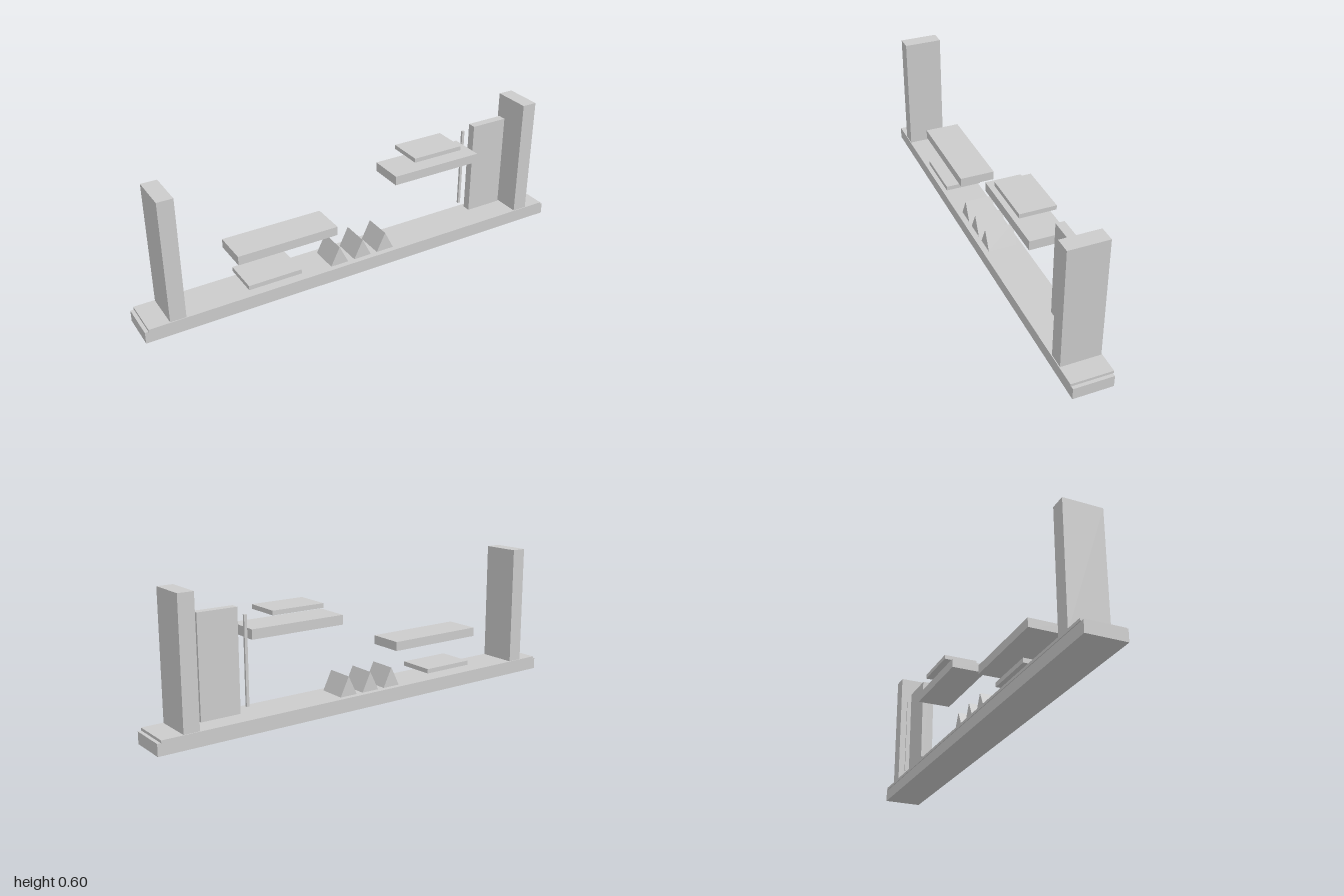
import * as THREE from 'three';

export function createModel() {
  const model = new THREE.Group();
  const material = new THREE.MeshStandardMaterial({ color: 0xcccccc, flatShading: true });

  const add = (name, geometry) => {
    const mesh = new THREE.Mesh(geometry, material);
    mesh.name = name;
    model.add(mesh);
    return mesh;
  };

  // Box given by its lower and upper limits on each axis
  const box = (name, [x0, x1], [y0, y1], [z0, z1]) =>
    add(name, new THREE.BoxGeometry(x1 - x0, y1 - y0, z1 - z0))
      .position.set((x0 + x1) / 2, (y0 + y1) / 2, (z0 + z1) / 2);

  const deep = (d) => [-d / 2, d / 2];

  // Ground block with a thin, slightly overhanging top layer
  box('groundBlock', [-1, 1], [0, 0.051], deep(0.171));
  box('groundTopLayer', [-0.985, 0.985], [0.051, 0.0625], deep(0.178));

  // End walls
  for (const [name, x] of [['leftWall', 0.859], ['rightWall', -0.861]]) {
    box(name, [x - 0.034, x + 0.034], [0.051, 0.6], deep(0.171));
  }

  // Floating platforms and their thin steps
  box('lowPlatform', [-0.588, -0.132], [0.222, 0.262], deep(0.157));
  box('lowStep', [-0.551, -0.309], [0.091, 0.111], deep(0.165));
  box('highPlatform', [0.155, 0.585], [0.38, 0.421], deep(0.157));
  box('highStep', [0.251, 0.49], [0.463, 0.482], deep(0.157));

  // Row of wedge spikes with ridges running front to back
  const wedge = new THREE.Shape([
    new THREE.Vector2(-0.042, 0),
    new THREE.Vector2(0.042, 0),
    new THREE.Vector2(0, 0.085),
  ]);
  const spike = new THREE.ExtrudeGeometry(wedge, { depth: 0.128, bevelEnabled: false });
  spike.translate(0, 0, -0.064);
  for (const x of [-0.115, 0, 0.115]) {
    add('spike', spike).position.set(x, 0.0625, 0);
  }

  // Door panel with a slim rod on either side
  box('doorPanel', [0.625, 0.798], [0.08, 0.509], [-0.043, -0.006]);
  for (const x of [0.598, 0.825]) {
    box('doorRod', [x - 0.006, x + 0.006], [0.107, 0.477], [-0.056, -0.046]);
  }

  return model;
}
